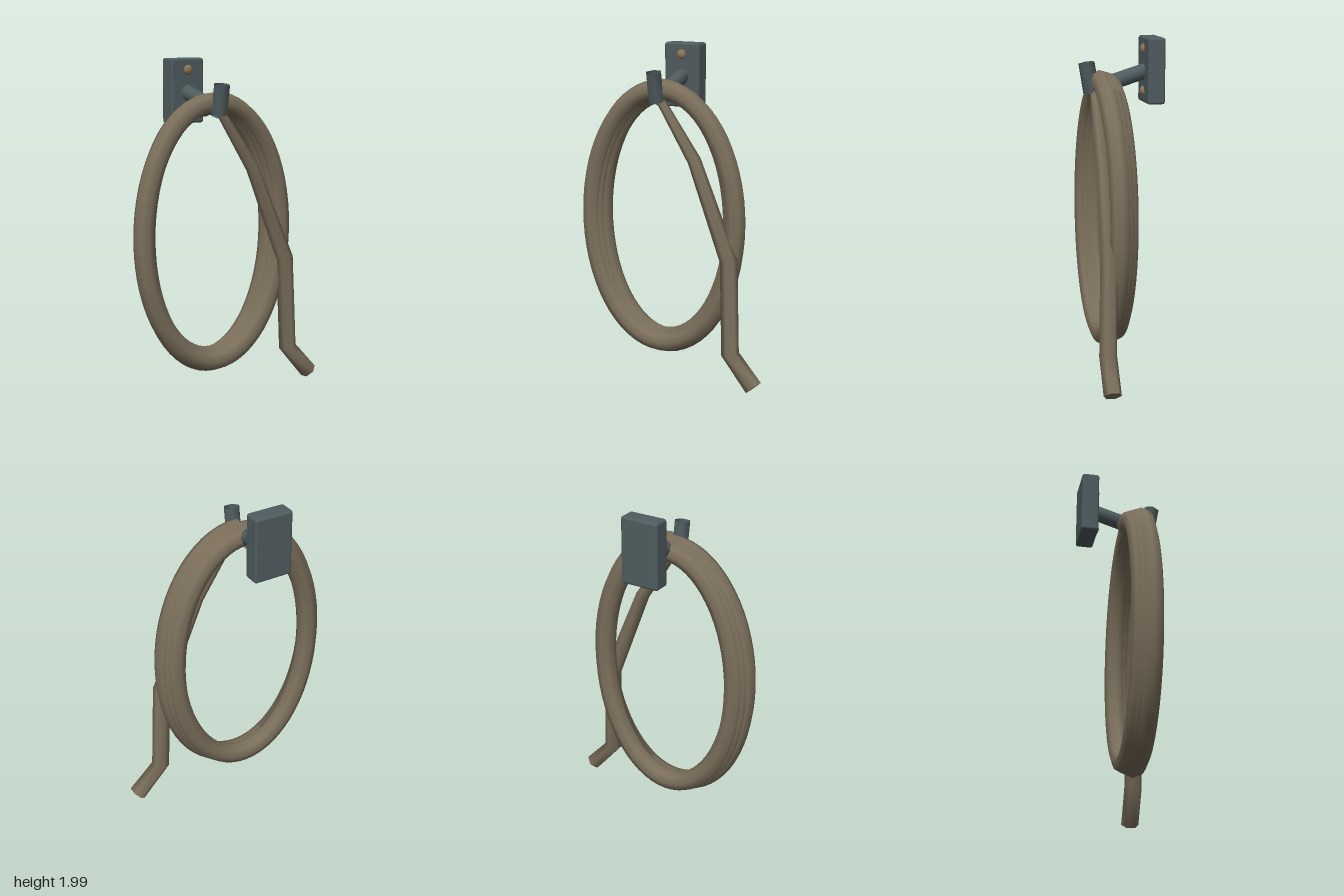
import * as THREE from 'three';
import { RoundedBoxGeometry } from 'three/addons/geometries/RoundedBoxGeometry.js';

const hoseMat = new THREE.MeshStandardMaterial({ color: 0x7b6f5b, side: THREE.DoubleSide });
const metalMat = new THREE.MeshStandardMaterial({ color: 0x4f5c5f, side: THREE.DoubleSide });
const screwMat = new THREE.MeshStandardMaterial({ color: 0x8b7557 });
hoseMat.name = 'hose rubber';
metalMat.name = 'dark metal';
screwMat.name = 'screw brass';

const V = (x, y, z) => new THREE.Vector3(x, y, z);

// Open tube through the points; radius(i) gives the size of each ring
function sweep(points, radius, sides, axis) {
  const pos = [], idx = [], last = points.length - 1;
  points.forEach((p, i) => {
    const a = points[Math.max(i - 1, 0)], b = points[Math.min(i + 1, last)];
    const t = b.clone().sub(a).normalize();
    const n = axis.clone().addScaledVector(t, -axis.dot(t)).normalize();
    const bi = t.clone().cross(n);
    for (let j = 0; j < sides; j++) {
      const ang = (j / sides) * Math.PI * 2;
      const v = p.clone()
        .addScaledVector(n, radius(i) * Math.cos(ang))
        .addScaledVector(bi, radius(i) * Math.sin(ang));
      pos.push(v.x, v.y, v.z);
      if (i < last) {
        const k = i * sides, j2 = (j + 1) % sides;
        idx.push(k + j, k + j2, k + sides + j, k + j2, k + sides + j2, k + sides + j);
      }
    }
  });
  const g = new THREE.BufferGeometry();
  g.setAttribute('position', new THREE.Float32BufferAttribute(pos, 3));
  g.setIndex(idx);
  g.computeVertexNormals();
  return g;
}

export function createModel() {
  const model = new THREE.Group();
  const rack = new THREE.Group();
  rack.name = 'hoseRack';
  rack.rotation.y = Math.PI / 4;
  model.add(rack);

  const add = (name, geo, mat, x = 0, y = 0, z = 0) => {
    const m = new THREE.Mesh(geo, mat);
    m.name = name;
    m.position.set(x, y, z);
    rack.add(m);
    return m;
  };
  const cx = -0.078;

  // Wall plate with two domed screws
  add('wallPlate', new RoundedBoxGeometry(0.235, 0.39, 0.105, 2, 0.015), metalMat, cx, 1.805, -0.354);
  for (const y of [1.93, 1.68]) {
    add('screw', new THREE.SphereGeometry(0.03, 14, 10), screwMat, cx, y, -0.302).scale.z = 0.65;
  }

  // Hook: sloping arm and upturned tip
  const side = V(1, 0, 0);
  add('hookArm', sweep([V(cx, 1.8, -0.32), V(cx, 1.7, 0.01)], () => 0.047, 8, side), metalMat);
  add('hookTip', sweep([V(cx, 1.68, 0.014), V(cx, 1.855, 0.043)], () => 0.05, 6, side), metalMat);

  // Coiled hose: an oval spiral that widens toward the front
  const front = V(0, 0, 1), turns = 3, steps = 64 * turns, coil = [];
  for (let i = 0; i <= steps; i++) {
    const f = i / steps, a = Math.PI / 2 + f * turns * Math.PI * 2;
    coil.push(V(
      cx + (0.44 + 0.062 * f) * Math.cos(a),
      0.97 + (0.755 + 0.025 * f) * Math.sin(a),
      -0.112 + 0.08 * f));
  }
  add('hoseCoil', sweep(coil, () => 0.062, 8, front), hoseMat);

  // Loose end hanging down from the hook
  const tail = [V(cx, 1.72, 0), V(0.173, 1.35, 0.01), V(0.41, 0.78, 0.028),
    V(0.43, 0.22, 0.037), V(0.59, 0.04, 0.05)];
  const radii = [0.025, 0.04, 0.052, 0.053, 0.053];
  add('hoseTail', sweep(tail, (i) => radii[i], 6, front), hoseMat);
  const end = add('hoseEnd', new THREE.CircleGeometry(0.05, 6), hoseMat, 0.59, 0.04, 0.05);
  end.quaternion.setFromUnitVectors(front, tail[4].clone().sub(tail[3]).normalize());

  return model;
}
